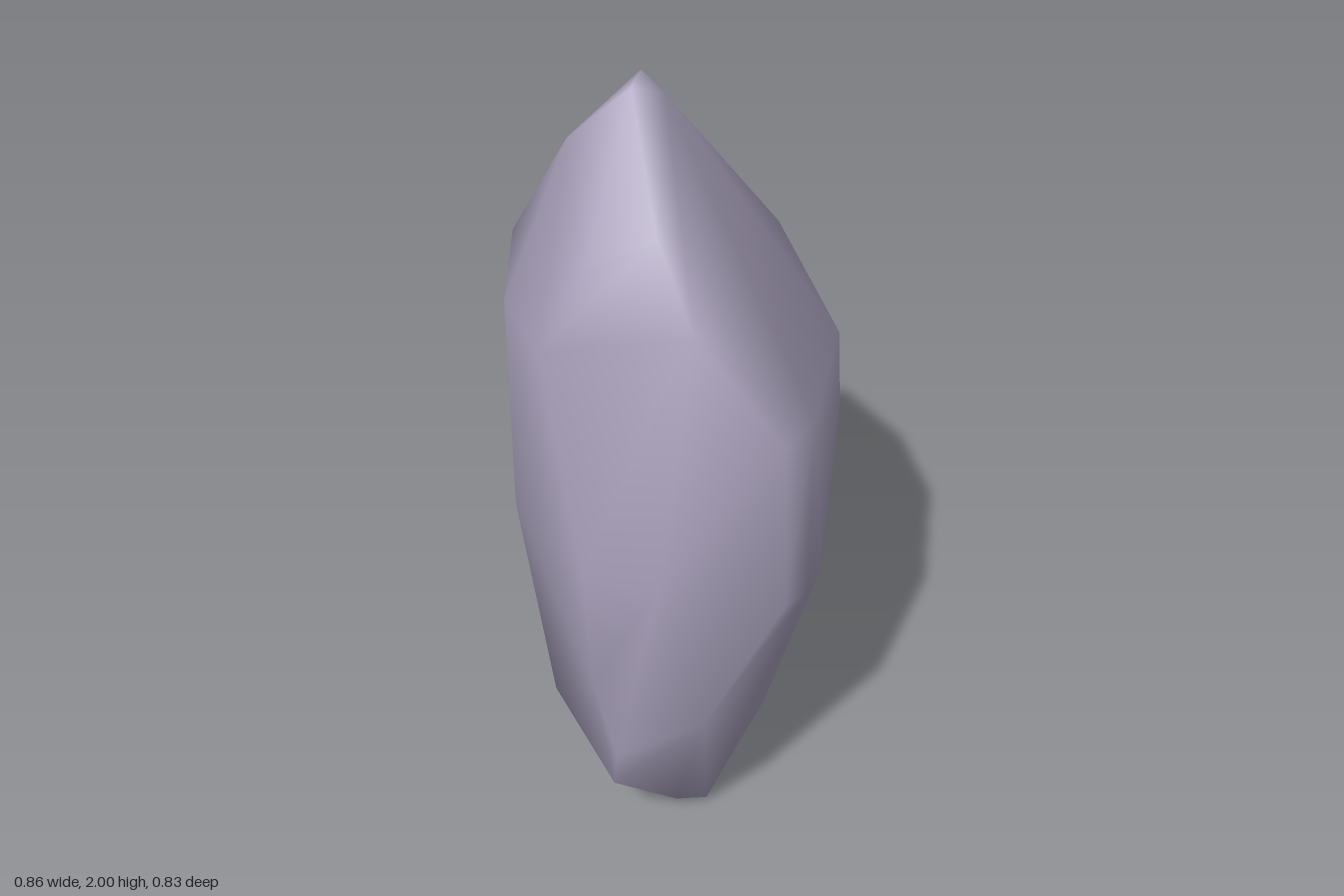
import * as THREE from 'three';
import { ConvexGeometry } from 'three/addons/geometries/ConvexGeometry.js';
import { mergeVertices } from 'three/addons/utils/BufferGeometryUtils.js';

// Corners of the stone as [x, y, z], tier by tier from the ground up
const FOOT = [
  [0, 0, 0.125], [-0.06, 0.02, 0.16], [-0.14, 0.052, 0.13], [-0.2, 0.085, -0.06],
  [-0.08, 0.025, -0.075], [0.067, 0.03, -0.1], [0.18, 0.06, -0.075], [0.1, 0.025, -0.01],
];
const LOWER = [
  [0.13, 0.245, 0.18], [-0.33, 0.23, 0.1], [-0.25, 0.305, -0.19], [0.28, 0.265, -0.28],
  [-0.37, 0.39, 0.153], [-0.27, 0.555, 0.345], [0.4, 0.57, -0.2], [-0.41, 0.63, 0.12],
  [0.19, 0.7, 0.29],
];
const BELLY = [
  [0.41, 0.74, 0.135], [0.11, 0.85, 0.36], [0, 0.83, 0.41], [-0.08, 0.84, 0.415],
  [-0.355, 0.98, 0.28], [-0.43, 0.97, 0.12], [-0.275, 0.87, -0.275], [0.02, 0.8, -0.415],
  [0.305, 1, -0.382], [0.325, 0.9, -0.362], [0.375, 0.79, -0.285], [0.42, 1, -0.2],
  [0.41, 1.02, 0.15],
];
const SHOULDER = [
  [0.43, 1.33, -0.02], [0.41, 1.225, 0.135], [0, 1.32, 0.41], [-0.1, 1.3, 0.415],
  [-0.38, 1.47, -0.05], [-0.3, 1.47, -0.245], [0.09, 1.2, -0.42], [0.03, 1.44, -0.39],
  [0.26, 1.43, -0.355], [0.38, 1.47, -0.04], [-0.225, 1.575, 0.26],
];
const CROWN = [
  [-0.22, 1.6, -0.295], [0.17, 1.66, -0.335], [-0.29, 1.65, 0], [-0.21, 1.745, 0.14],
  [0.165, 1.838, -0.228], [-0.18, 1.865, -0.152],
  [-0.03, 1.965, -0.01], [-0.1, 1.99, -0.04], [-0.04, 2, -0.07],
];

export function createModel() {
  const group = new THREE.Group();
  group.name = 'stone';

  const stone = new THREE.MeshStandardMaterial({ color: 0xa8a0ba });
  stone.name = 'lavender grey stone';

  // Convex skin with shared vertices for smooth shading
  const corners = [FOOT, LOWER, BELLY, SHOULDER, CROWN]
    .flat()
    .map((p) => new THREE.Vector3(...p));
  let skin = new ConvexGeometry(corners);
  skin.deleteAttribute('normal');
  skin = mergeVertices(skin, 1e-4);
  skin.computeVertexNormals();

  const body = new THREE.Mesh(skin, stone);
  body.name = 'stoneBody';
  group.add(body);
  return group;
}
